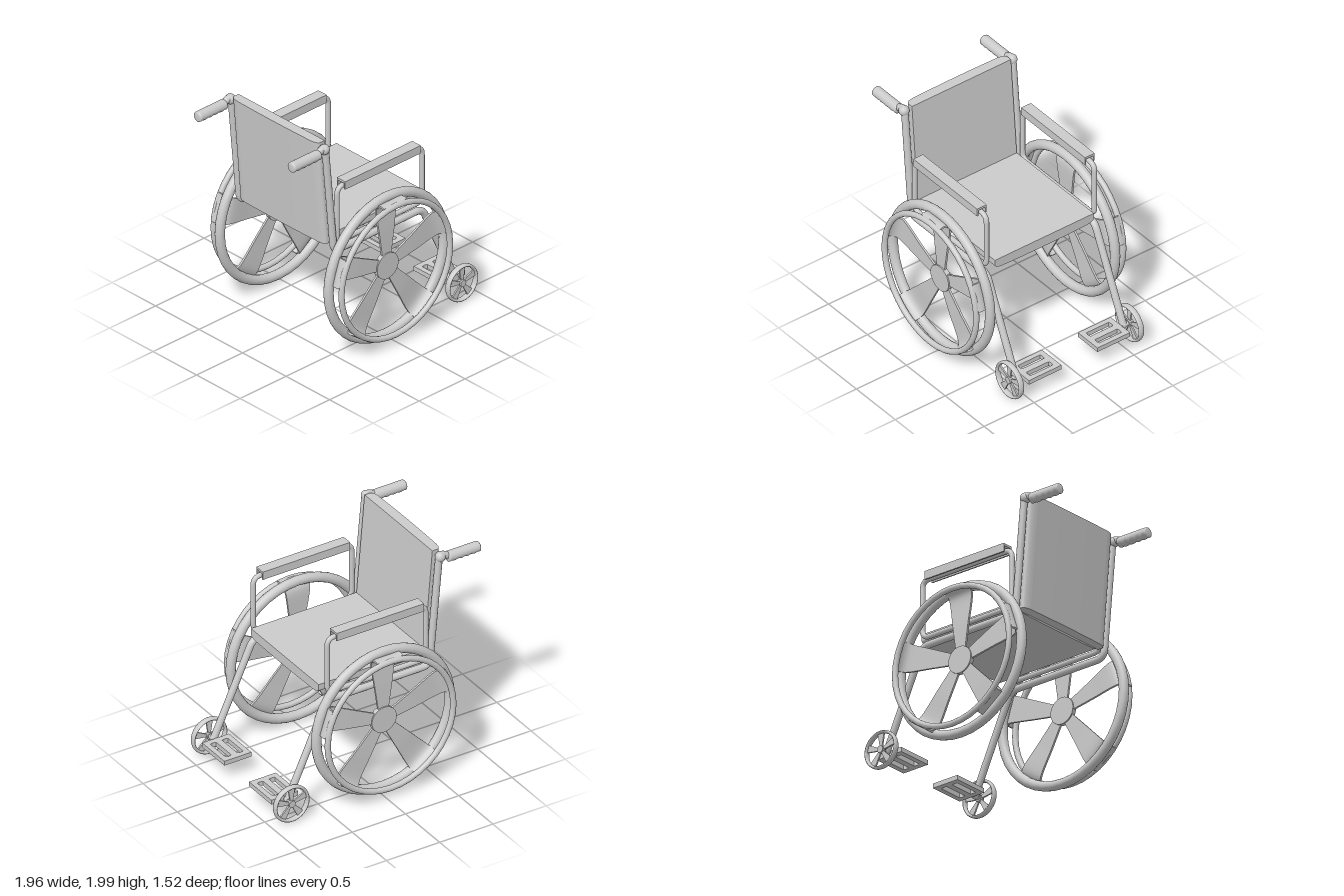
import * as THREE from 'three';

const grey = new THREE.MeshStandardMaterial({ color: 0xcccccc });
const V = (x, y, z) => new THREE.Vector3(x, y, z);

function add(parent, name, geometry, x = 0, y = 0, z = 0) {
  const mesh = new THREE.Mesh(geometry, grey);
  mesh.name = name;
  mesh.position.set(x, y, z);
  parent.add(mesh);
  return mesh;
}

// Tube through [x, y] points in one plane, with bends of the given radius.
function bentTube(points, z, radius, bend, closed = false) {
  const pts = points.map(([x, y]) => V(x, y, z));
  const path = new THREE.CurvePath();
  const n = pts.length;
  const toward = (a, b) => a.clone().lerp(b, Math.min(0.45, bend / a.distanceTo(b)));
  let last = closed ? toward(pts[0], pts[1]) : pts[0];
  for (let i = 1; i < (closed ? n + 1 : n - 1); i++) {
    const p = pts[i % n];
    const enter = toward(p, pts[(i - 1) % n]);
    const leave = toward(p, pts[(i + 1) % n]);
    path.add(new THREE.LineCurve3(last, enter));
    path.add(new THREE.QuadraticBezierCurve3(enter, p, leave));
    last = leave;
  }
  if (!closed) path.add(new THREE.LineCurve3(last, pts[n - 1]));
  return new THREE.TubeGeometry(path, 140, radius, 12, closed);
}

// Flat tapering spoke along +y that follows a (radius, z) path.
function spokeGeometry(path, inner, outer, thickness) {
  const curve = new THREE.CatmullRomCurve3(path.map(([r, z]) => V(0, r, z)), false, 'centripetal');
  const geo = new THREE.BoxGeometry(1, 1, thickness, 1, 20, 1);
  const pos = geo.attributes.position;
  const end = path[path.length - 1][0];
  for (let i = 0; i < pos.count; i++) {
    const t = pos.getY(i) + 0.5;
    const p = curve.getPointAt(t);
    const d = curve.getTangentAt(t);
    const half = THREE.MathUtils.lerp(inner, outer, Math.min(1, p.y / end));
    const k = pos.getZ(i);
    pos.setXYZ(i, pos.getX(i) * 2 * half, p.y - d.z * k, p.z + d.y * k);
  }
  geo.computeVertexNormals();
  return geo;
}

function addSpokes(parent, geo) {
  for (let i = 0; i < 5; i++) add(parent, 'spoke', geo).rotation.z = (i * Math.PI * 2) / 5;
}

function disc(radius, depth) {
  return new THREE.CylinderGeometry(radius, radius, depth, 28).rotateX(Math.PI / 2);
}

// Large wheel, outer side towards +z
function driveWheel() {
  const g = new THREE.Group();
  g.name = 'driveWheel';
  add(g, 'tire', new THREE.TorusGeometry(0.627, 0.041, 14, 40));
  add(g, 'pushRim', new THREE.TorusGeometry(0.59, 0.025, 12, 40), 0, 0, 0.11);
  add(g, 'hub', disc(0.116, 0.04));
  addSpokes(g, spokeGeometry(
    [[0.08, 0], [0.3, 0], [0.55, 0], [0.585, 0.02], [0.608, 0.06], [0.598, 0.105]], 0.034, 0.122, 0.018));
  return g;
}

// Small front wheel
function casterWheel() {
  const g = new THREE.Group();
  g.name = 'casterWheel';
  add(g, 'casterTire', new THREE.TorusGeometry(0.151, 0.013, 12, 32).scale(1, 1, 2));
  add(g, 'casterHub', disc(0.03, 0.04));
  addSpokes(g, spokeGeometry([[0.02, 0], [0.08, 0], [0.145, 0]], 0.008, 0.032, 0.014));
  return g;
}

// Hand grip along x with finger waves underneath
function gripGeometry() {
  const profile = [[0, 0], [0.034, 0], [0.043, 0.006], [0.046, 0.016]];
  for (let i = 1; i <= 30; i++) profile.push([0.046, 0.016 + i * 0.009]);
  profile.push([0.043, 0.297], [0.034, 0.303], [0, 0.303]);
  const geo = new THREE.LatheGeometry(profile.map(([r, y]) => new THREE.Vector2(r, y)), 24);
  geo.rotateZ(-Math.PI / 2);
  const pos = geo.attributes.position;
  for (let i = 0; i < pos.count; i++) {
    const y = pos.getY(i);
    if (y < 0) pos.setY(i, y * (0.9 + 0.1 * Math.cos((pos.getX(i) / 0.303) * Math.PI * 10)));
  }
  geo.computeVertexNormals();
  return geo;
}

// Cushion section: flat on one side (v = thick), rounded corners on the other
function cushionShape(width, thick, r) {
  const h = width / 2;
  const s = new THREE.Shape();
  s.moveTo(-h, thick);
  s.lineTo(-h, r);
  s.quadraticCurveTo(-h, 0.012, -h + r * 1.6, 0.006);
  s.quadraticCurveTo(0, -0.006, h - r * 1.6, 0.006);
  s.quadraticCurveTo(h, 0.012, h, r);
  s.lineTo(h, thick);
  s.closePath();
  return s;
}

function footplateGeometry() {
  const s = new THREE.Shape();
  s.moveTo(-0.126, -0.163).lineTo(0.126, -0.163).lineTo(0.126, 0.163).lineTo(-0.126, 0.163).closePath();
  for (const x of [-0.055, 0.055]) {
    const hole = new THREE.Path();
    hole.moveTo(x - 0.027, -0.11);
    hole.quadraticCurveTo(x, -0.122, x + 0.027, -0.11);
    hole.lineTo(x + 0.027, 0.11);
    hole.quadraticCurveTo(x, 0.122, x - 0.027, 0.11);
    hole.closePath();
    s.holes.push(hole);
  }
  return new THREE.ExtrudeGeometry(s, { depth: 0.04, bevelEnabled: false })
    .translate(0, 0, -0.02).rotateX(-Math.PI / 2);
}

// Armrest pad: a channel open underneath, running along x
function armPadGeometry() {
  const s = new THREE.Shape();
  const outline = [[-0.048, 0], [-0.036, 0], [-0.036, 0.052], [0.036, 0.052],
    [0.036, 0], [0.048, 0], [0.048, 0.072], [-0.048, 0.072]];
  s.setFromPoints(outline.map(([x, y]) => new THREE.Vector2(x, y)));
  return new THREE.ExtrudeGeometry(s, { depth: 0.82, bevelEnabled: false })
    .translate(0, 0, -0.41).rotateY(Math.PI / 2);
}

export function createModel() {
  const model = new THREE.Group();
  model.name = 'wheelchair';

  // Seat cushion, rounded along its lower edges
  add(model, 'seat', new THREE.ExtrudeGeometry(cushionShape(0.99, 0.09, 0.045),
    { depth: 0.99, bevelEnabled: false, curveSegments: 10 }).rotateY(Math.PI / 2), -0.5, 1.025, 0);

  // Backrest, leaning backwards and rounded at the rear corners
  const back = new THREE.ExtrudeGeometry(cushionShape(0.99, 0.09, 0.045),
    { depth: 0.96, bevelEnabled: false, curveSegments: 10 });
  back.applyMatrix4(new THREE.Matrix4().makeBasis(V(0, 0, 1), V(1, 0, 0), V(-0.085, 1, 0)));
  add(model, 'backrest', back, -0.585, 1.04, 0);

  for (const side of [1, -1]) {
    const half = new THREE.Group();
    half.name = side > 0 ? 'rightSide' : 'leftSide';
    model.add(half);
    const z = 0.54 * side;

    // Main frame: handle, back post, seat rail and front leg in one tube
    add(half, 'frameTube', bentTube(
      [[-0.72, 1.93], [-0.635, 1.975], [-0.612, 1.965], [-0.52, 0.98], [0.44, 0.98], [0.81, 0.175]], z, 0.03, 0.07));
    add(half, 'frameElbow', new THREE.SphereGeometry(0.044, 16, 12), -0.622, 1.955, z);
    add(half, 'legEnd', new THREE.SphereGeometry(0.03, 14, 10), 0.81, 0.178, z);
    add(half, 'handGrip', gripGeometry(), -0.985, 1.932, z);

    // Armrest
    add(half, 'armrestFrame', bentTube(
      [[0, 1.05], [0.44, 1.05], [0.44, 1.55], [-0.485, 1.55], [-0.485, 1.05]], z, 0.022, 0.07, true));
    add(half, 'armrestPad', armPadGeometry(), -0.03, 1.532, z);

    // Wheels
    const wheel = driveWheel();
    wheel.position.set(-0.03, 0.69, 0.625 * side);
    const caster = casterWheel();
    caster.position.set(0.815, 0.173, 0.6 * side);
    for (const w of [wheel, caster]) {
      if (side < 0) w.rotation.y = Math.PI;
      half.add(w);
    }
    add(half, 'casterAxle', disc(0.02, 0.1), 0.815, 0.175, 0.57 * side);

    // Footplate
    add(half, 'footplate', footplateGeometry(), 0.815, 0.175, 0.343 * side);
  }
  return model;
}
